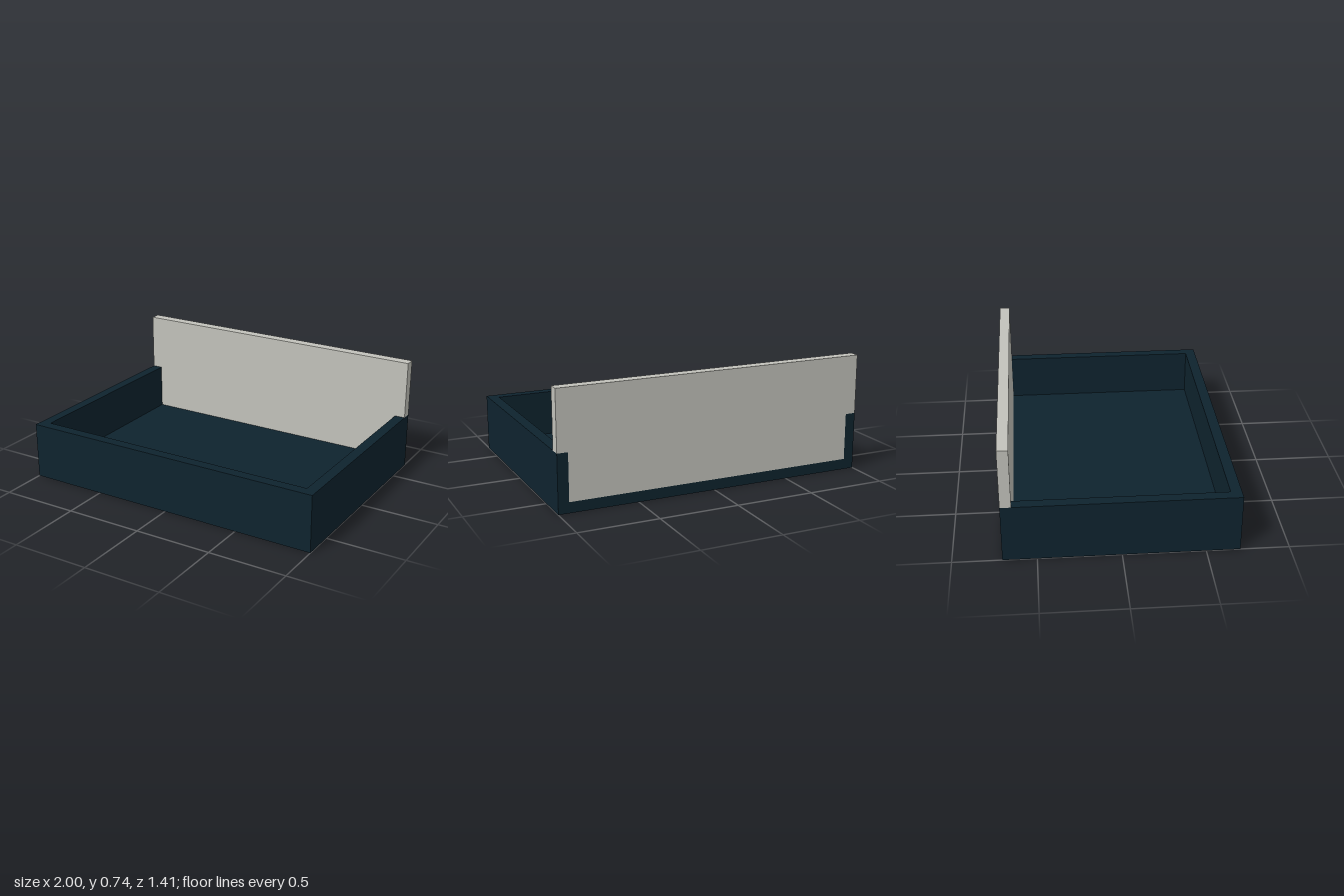
import * as THREE from 'three';

export function createModel() {
  const model = new THREE.Group();
  model.name = 'tray';
  const navy = new THREE.MeshStandardMaterial({ name: 'dark navy', color: 0x0e232e });
  const grey = new THREE.MeshStandardMaterial({ name: 'warm light grey', color: 0xc2c2bb });

  // Box given by its minimum and maximum corners
  const box = (name, material, [x0, y0, z0], [x1, y1, z1]) => {
    const mesh = new THREE.Mesh(new THREE.BoxGeometry(x1 - x0, y1 - y0, z1 - z0), material);
    mesh.position.set((x0 + x1) / 2, (y0 + y1) / 2, (z0 + z1) / 2);
    mesh.name = name;
    model.add(mesh);
  };

  const X = 1, Z = 0.705, T = 0.067; // half width, half depth, board thickness
  const rim = 0.365, top = 0.742;

  // Floor and low walls
  box('floor', navy, [-X, 0, -Z], [X, T, Z]);
  box('frontWall', navy, [-X + T, T, Z - T], [X - T, rim, Z]);
  box('leftWall', navy, [X - T, T, -Z], [X, rim, Z]);
  box('rightWall', navy, [-X, T, -Z], [-X + T, rim, Z]);

  // Tall back board, notched around the side walls
  const a = X - T;
  const outline = new THREE.Shape([
    [-a, T], [a, T], [a, rim], [X, rim], [X, top], [-X, top], [-X, rim], [-a, rim],
  ].map(([x, y]) => new THREE.Vector2(x, y)));
  const board = new THREE.Mesh(
    new THREE.ExtrudeGeometry(outline, { depth: T, bevelEnabled: false }), grey);
  board.position.z = -Z;
  board.name = 'backBoard';
  model.add(board);

  return model;
}
